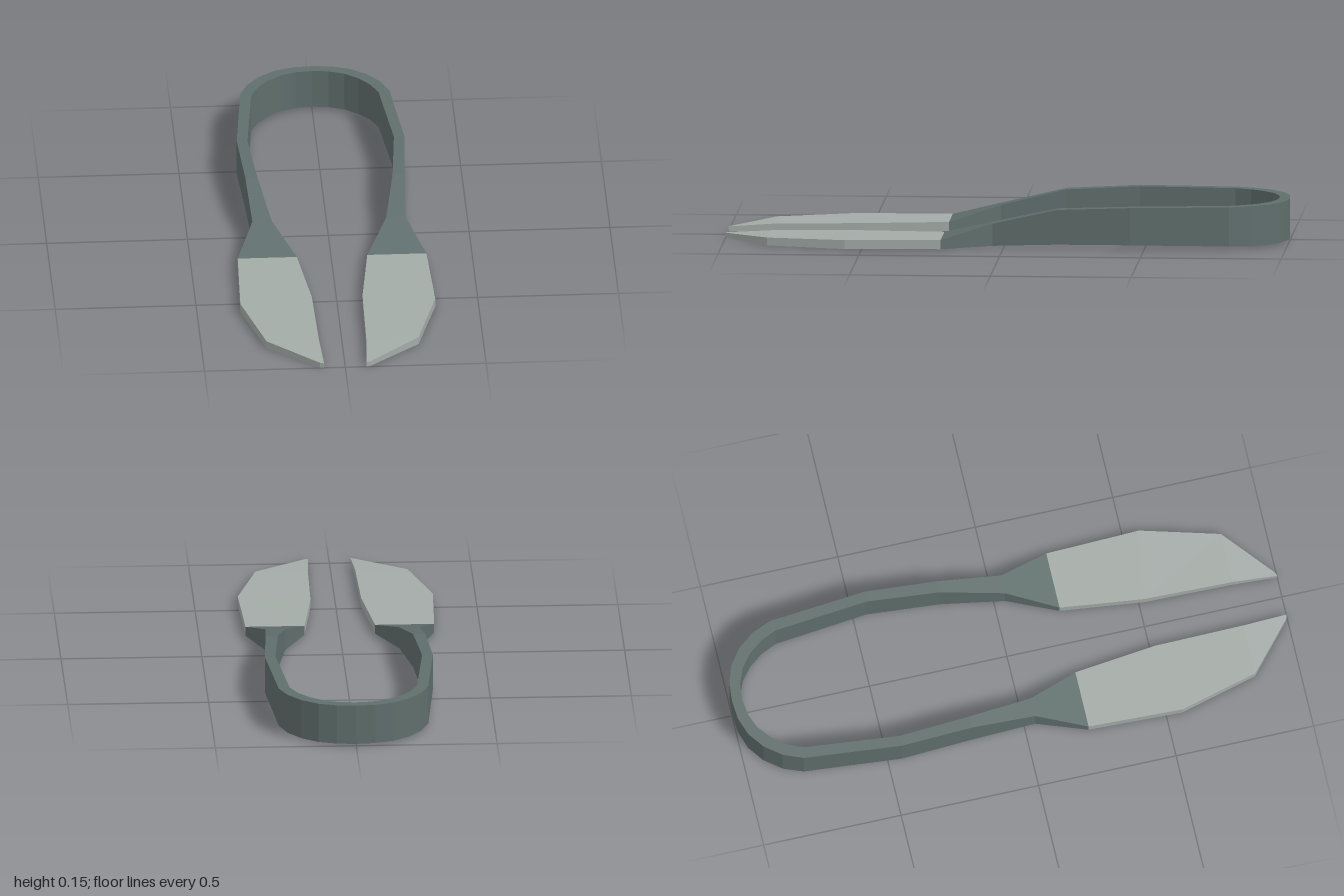
import * as THREE from 'three';

// A station is a four-cornered section: [outer x, outer z, inner x, inner z, bottom y, top y]
const bladeStations = [
  [0.089, 0.995, 0.075, 1.0, 0.0, 0.018],
  [0.27, 0.84, 0.084, 0.84, 0.0, 0.028],
  [0.346, 0.56, 0.09, 0.52, 0.0, 0.032],
  [0.335, 0.22, 0.125, 0.22, 0.001, 0.034],
];

const armStations = [
  [0.335, 0.22, 0.125, 0.22, 0.001, 0.034],
  [0.272, 0.04, 0.203, 0.04, 0.006, 0.085],
  [0.283, -0.19, 0.24, -0.19, 0.014, 0.138],
  [0.298, -0.45, 0.26, -0.45, 0.016, 0.149],
  [0.265, -0.8, 0.226, -0.79, 0.01, 0.15],
  [0.237, -0.87, 0.2, -0.848, 0.008, 0.15],
  [0.19, -0.93, 0.162, -0.897, 0.007, 0.15],
  [0.133, -0.972, 0.114, -0.935, 0.007, 0.15],
  [0.068, -0.994, 0.058, -0.957, 0.007, 0.15],
];
const backStation = [0, -1, 0, -0.963, 0.007, 0.15];

// Mirrors a run of stations to the other side, reversed so that the winding holds
const mirrored = (stations) =>
  stations.map(([ox, oz, ix, iz, y0, y1]) => [-ox, oz, -ix, iz, y0, y1]).reverse();

// Skins a run of stations, with a cap at each end if wanted
function loft(stations, capped) {
  const positions = [];
  const sections = stations.map(([ox, oz, ix, iz, y0, y1]) => [
    [ox, y0, oz], [ox, y1, oz], [ix, y1, iz], [ix, y0, iz],
  ]);
  const quad = (a, b, c, d) => positions.push(...a, ...b, ...c, ...a, ...c, ...d);

  for (let i = 0; i < sections.length - 1; i++) {
    const s = sections[i];
    const t = sections[i + 1];
    for (let k = 0; k < 4; k++) {
      const n = (k + 1) % 4;
      quad(s[k], t[k], t[n], s[n]);
    }
  }
  if (capped) {
    const [a, b, c, d] = sections[0];
    quad(a, b, c, d);
    const [e, f, g, h] = sections[sections.length - 1];
    quad(h, g, f, e);
  }

  const geometry = new THREE.BufferGeometry();
  geometry.setAttribute('position', new THREE.Float32BufferAttribute(positions, 3));
  geometry.computeVertexNormals();
  return geometry;
}

export function createModel() {
  const group = new THREE.Group();
  group.name = 'springShears';
  const handleMaterial = new THREE.MeshStandardMaterial({ color: 0x5f6e6c, flatShading: true });
  const bladeMaterial = new THREE.MeshStandardMaterial({ color: 0xa3aba7, flatShading: true });

  const add = (name, geometry, material) => {
    const mesh = new THREE.Mesh(geometry, material);
    mesh.name = name;
    group.add(mesh);
  };

  // One bent strip: left arm, rounded bow at the back, right arm
  const strip = [...armStations, backStation, ...mirrored(armStations)];
  add('springHandle', loft(strip, false), handleMaterial);

  // Flat blades that thin towards the tips
  add('leftBlade', loft(bladeStations, true), bladeMaterial);
  add('rightBlade', loft(mirrored(bladeStations), true), bladeMaterial);

  return group;
}
